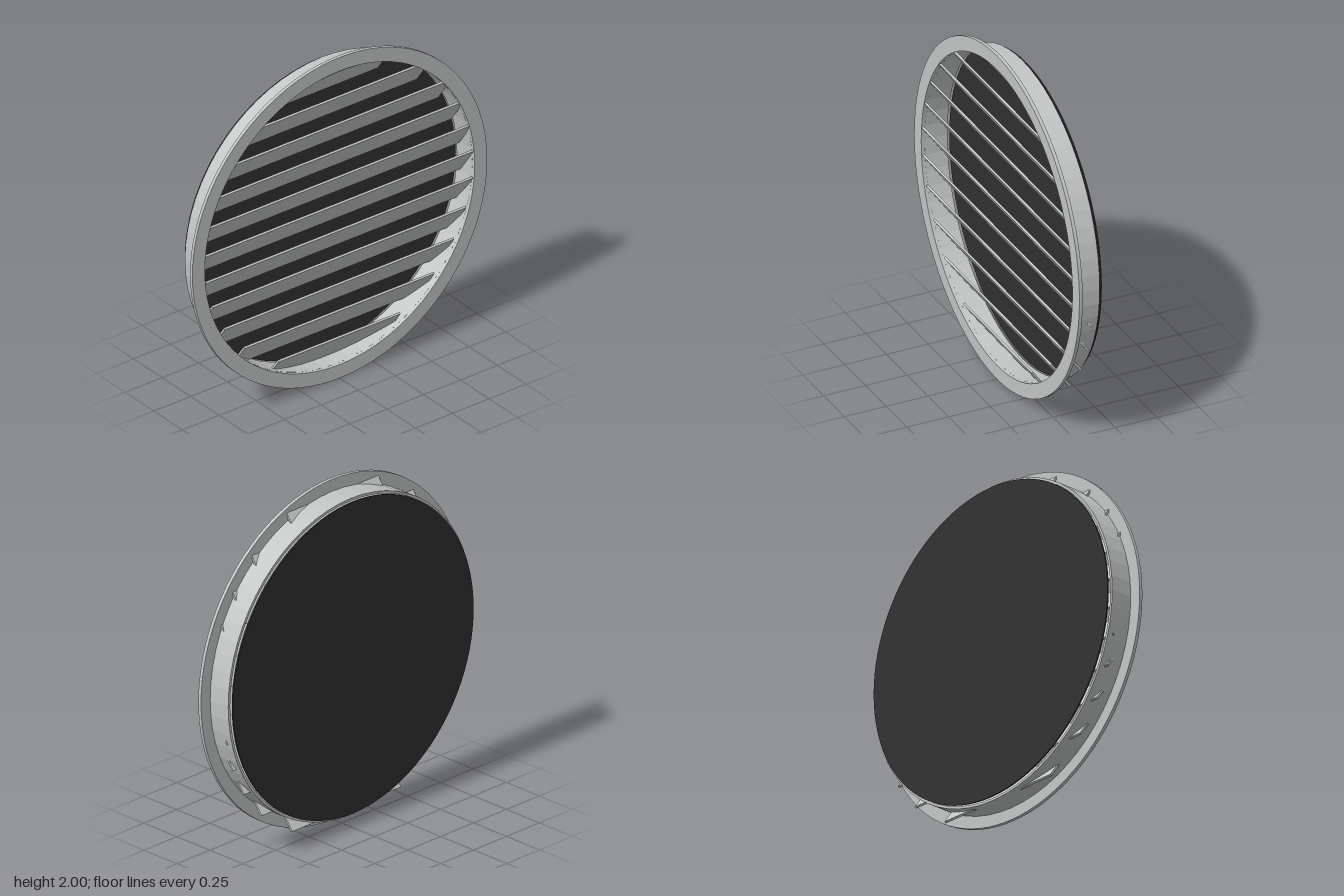
import * as THREE from 'three';

const metal = new THREE.MeshStandardMaterial({ color: 0xc2c6c5 });
metal.name = 'lightGreyMetal';
const mesh = new THREE.MeshStandardMaterial({ color: 0x303030 });
mesh.name = 'darkScreen';

// Flat ring between two z positions
function ring(name, outer, inner, zBack, zFront, segments) {
  const shape = new THREE.Shape().absarc(0, 0, outer, 0, Math.PI * 2, false);
  shape.holes.push(new THREE.Path().absarc(0, 0, inner, 0, Math.PI * 2, true));
  const geometry = new THREE.ExtrudeGeometry(shape, {
    depth: zFront - zBack, bevelEnabled: false, curveSegments: segments / 2,
  });
  const part = new THREE.Mesh(geometry, metal);
  part.name = name;
  part.position.set(0, 1, zBack);
  return part;
}

export function createModel() {
  const vent = new THREE.Group();
  vent.name = 'roundVent';

  // Face flange and the short duct sleeve behind it
  vent.add(ring('flange', 1, 0.915, 0.068, 0.088, 96));
  vent.add(ring('sleeve', 0.93, 0.915, -0.068, 0.068, 64));

  // Tilted slats, high at the front, cut to the width of the circle
  const slats = new THREE.Group();
  slats.name = 'slats';
  const pitch = 1 / 6;
  for (let i = -5; i <= 5; i++) {
    const offset = i * pitch + 0.015;
    const halfWidth = Math.min(0.91, Math.sqrt(0.917 ** 2 - offset ** 2));
    const slat = new THREE.Mesh(new THREE.BoxGeometry(halfWidth * 2, 0.012, 0.2), metal);
    slat.name = 'slat';
    slat.position.set(0, 1.005 + i * pitch, 0.024);
    slat.rotation.x = -THREE.MathUtils.degToRad(55);
    slats.add(slat);
  }
  vent.add(slats);

  // Dark insect screen at the back
  const screen = new THREE.Mesh(new THREE.CylinderGeometry(0.915, 0.915, 0.008, 96), mesh);
  screen.name = 'backScreen';
  screen.rotation.x = Math.PI / 2;
  screen.position.set(0, 1, -0.084);
  vent.add(screen);

  return vent;
}
